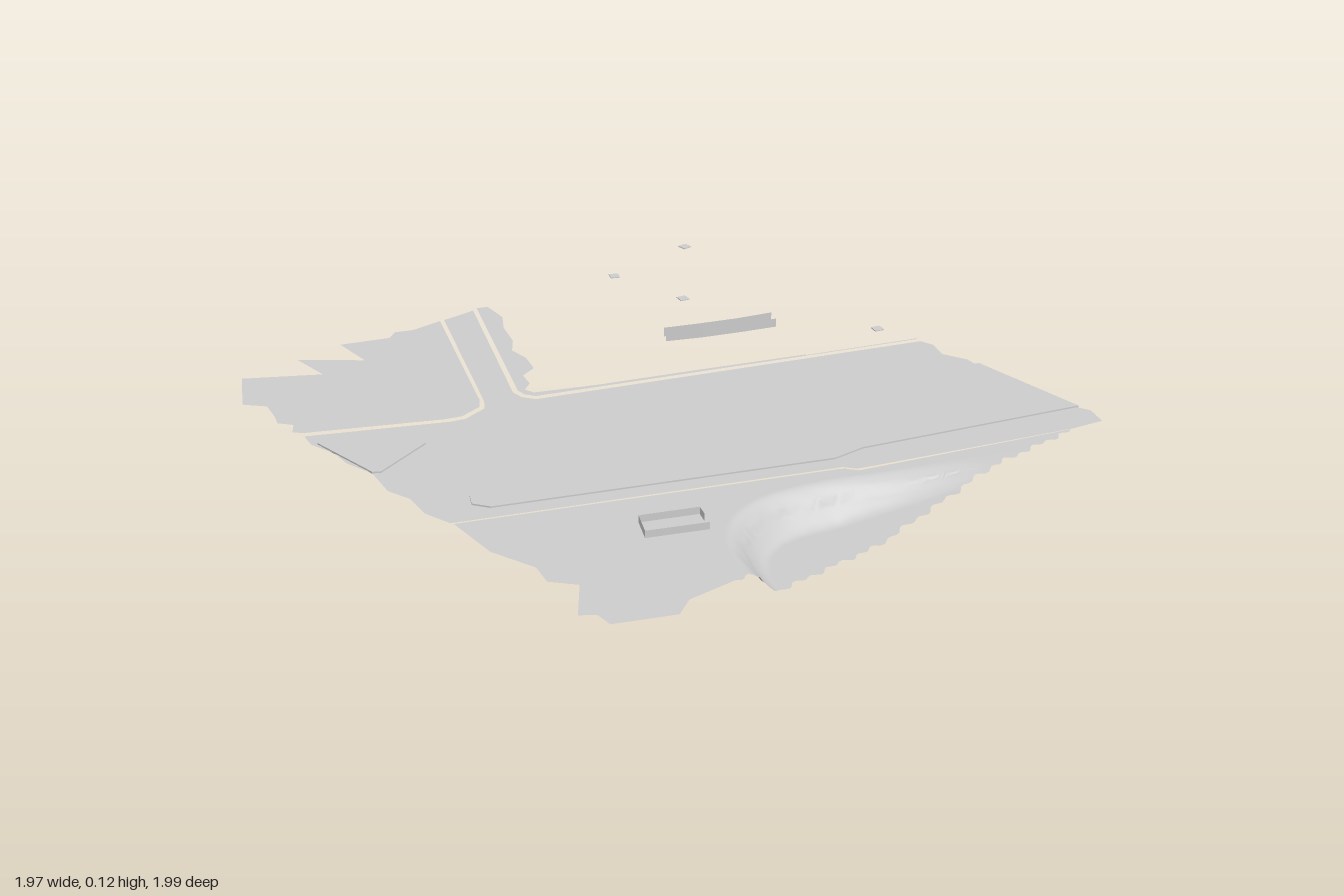
import * as THREE from 'three';

const LOT = 0.096, ROAD = 0.092;

// flat outline [x, z] -> shape lying in the ground plane once rotated
const outline = pts => new THREE.Shape(pts.map(([x, z]) => new THREE.Vector2(x, -z)));

export function createModel() {
  const group = new THREE.Group();
  group.name = 'streetJunction';
  const grey = new THREE.MeshStandardMaterial({ color: 0xcccccc, side: THREE.DoubleSide });
  grey.name = 'lightGrey';

  const add = (name, geo) => {
    const mesh = new THREE.Mesh(geo, grey);
    mesh.name = name;
    group.add(mesh);
    return mesh;
  };
  const sheet = (name, pts, y) =>
    add(name, new THREE.ShapeGeometry(outline(pts)).rotateX(-Math.PI / 2).translate(0, y, 0));
  const slab = (name, pts, y, h) =>
    add(name, new THREE.ExtrudeGeometry(outline(pts), { depth: h, bevelEnabled: false })
      .rotateX(-Math.PI / 2).translate(0, y, 0));
  // upright paper-thin wall along a path
  const wall = (name, pts, y0, y1) => {
    const pos = [];
    for (let i = 0; i + 1 < pts.length; i++) {
      const [a, b] = [pts[i], pts[i + 1]];
      const q = [[a, y0], [b, y0], [b, y1], [a, y0], [b, y1], [a, y1]];
      q.forEach(([p, y]) => pos.push(p[0], y, p[1]));
    }
    const geo = new THREE.BufferGeometry();
    geo.setAttribute('position', new THREE.Float32BufferAttribute(pos, 3));
    geo.computeVertexNormals();
    add(name, geo);
  };

  // road surface with ragged ends
  sheet('road', [
    [-0.935, -0.53], [-0.55, -0.325], [-0.5, -0.308], [-0.41, -0.328], [-0.38, -0.37],
    [-0.105, -0.945], [0.015, -0.945], [-0.275, -0.36], [-0.275, -0.315], [-0.25, -0.275],
    [0.96, 0.205], [0.97, 0.25], [0.94, 0.32], [0.97, 0.4], [0.955, 0.5], [0.98, 0.6],
    [0.955, 0.7], [0.97, 0.8], [0.965, 0.86], [0.98, 0.9], [0.95, 0.97], [0.84, 0.945],
    [0.21, 0.722], [0.165, 0.705], [0.14, 0.67], [-0.93, 0.192], [-0.95, 0.1], [-0.93, 0],
    [-0.95, -0.08], [-0.92, -0.2], [-0.94, -0.3], [-0.93, -0.38], [-0.95, -0.47],
  ], ROAD);

  // raised carriageway islands
  slab('mainIsland', [
    [0.97, 0.45], [0.4, 0.255], [-0.37, -0.085], [-0.42, -0.085], [-0.58, -0.035], [-0.79, 0.095],
    [-0.82, 0.145], [-0.79, 0.195], [0.16, 0.62], [0.27, 0.625], [0.97, 0.86],
  ], ROAD - 0.002, 0.007);
  slab('sideIsland', [
    [-0.935, -0.46], [-0.76, -0.38], [-0.69, -0.32], [-0.69, -0.25], [-0.9, -0.185], [-0.92, -0.2],
  ], ROAD - 0.002, 0.007);

  // north-west lot
  sheet('northWestLot', [
    [-0.96, -0.83], [-0.86, -0.99], [-0.65, -0.85], [-0.65, -0.995], [-0.49, -0.85], [-0.48, -1],
    [-0.33, -0.94], [-0.29, -0.965], [-0.235, -0.94], [-0.125, -0.94], [-0.39, -0.38],
    [-0.42, -0.34], [-0.5, -0.323], [-0.55, -0.34], [-0.93, -0.545], [-0.95, -0.57],
    [-0.92, -0.61], [-0.95, -0.65], [-0.93, -0.7], [-0.91, -0.77],
  ], LOT);

  // verge along the north-east kerb
  sheet('northEastVerge', [
    [0.03, -0.945], [0.065, -0.93], [0.05, -0.83], [0, -0.76], [-0.04, -0.66], [-0.09, -0.6],
    [-0.09, -0.53], [-0.12, -0.45], [-0.18, -0.43], [-0.2, -0.37], [-0.24, -0.345],
    [-0.23, -0.31], [-0.05, -0.225], [0.25, -0.105], [0.6, 0.04], [0.6, 0.05], [0.96, 0.187],
    [0.96, 0.193], [-0.243, -0.287], [-0.262, -0.32], [-0.26, -0.355],
  ], LOT);

  // south lot: flat western part
  const SPLIT = -0.55;
  sheet('southLotFlat', [
    [-0.93, 0.208], [SPLIT, 0.378], [SPLIT, 0.955], [-0.71, 0.95], [-0.78, 0.99], [-0.95, 0.91],
    [-0.945, 0.85], [-0.985, 0.82], [-0.88, 0.7], [-0.935, 0.63], [-0.91, 0.55], [-0.95, 0.4],
  ], LOT);

  // south lot: eastern part sinking into a smooth hollow
  const rim = new THREE.CatmullRomCurve3([
    [-0.48, 1.12], [-0.445, 0.95], [-0.39, 0.83], [-0.3, 0.745], [-0.18, 0.71], [0, 0.745],
    [0.2, 0.83], [0.5, 0.95], [0.9, 1.1],
  ].map(([x, z]) => new THREE.Vector3(x, 0, z))).getSpacedPoints(120);
  const height = (x, z) => {
    let best = Infinity, k = 0;
    rim.forEach((p, i) => {
      const d = Math.hypot(p.x - x, p.z - z);
      if (d < best) { best = d; k = i; }
    });
    const a = rim[Math.max(k - 1, 0)], b = rim[Math.min(k + 1, rim.length - 1)];
    const side = (b.x - a.x) * (z - a.z) - (b.z - a.z) * (x - a.x) > 0 ? 1 : -1;
    const depth = LOT * (1 - THREE.MathUtils.clamp(x / 0.5, 0, 0.95));
    return LOT - depth * THREE.MathUtils.smoothstep(side * best, -0.055, 0.065);
  };
  const kerb = [[SPLIT, 0.378], [0.13, 0.683], [0.155, 0.722], [0.2, 0.737], [0.84, 0.955]];
  const kerbZ = x => {
    const i = Math.max(1, kerb.findIndex(p => p[0] >= x - 1e-6));
    const [a, b] = [kerb[i - 1], kerb[i]];
    return a[1] + (b[1] - a[1]) * (x - a[0]) / (b[0] - a[0]);
  };
  const NX = 110, NZ = 48;
  const hollow = new THREE.PlaneGeometry(1, 1, NX, NZ);
  const pos = hollow.attributes.position;
  for (let j = 0; j <= NZ; j++) {
    for (let i = 0; i <= NX; i++) {
      const x = SPLIT + (0.84 - SPLIT) * i / NX;
      const z0 = kerbZ(x);
      const z1 = Math.max(z0, 0.955 + 0.008 * Math.sin(i * 1.3) + 0.005 * Math.sin(i * 0.57));
      const z = z0 + (z1 - z0) * j / NZ;
      pos.setXYZ(j * (NX + 1) + i, x, height(x, z), z);
    }
  }
  hollow.computeVertexNormals();
  add('southLotHollow', hollow);

  // open rectangular enclosure
  wall('enclosureWall', [[-0.41, 0.7], [-0.58, 0.62], [-0.535, 0.54], [-0.372, 0.615], [-0.39, 0.655]],
    ROAD, 0.119);

  // two free-standing low walls
  wall('southBarrier', [[0.34, -0.34], [0.45, -0.285], [0.57, -0.235], [0.69, -0.19]], 0.09, 0.119);
  wall('northBarrier', [[0.37, -0.385], [0.48, -0.335], [0.6, -0.285], [0.72, -0.245]], 0.083, 0.114);

  // small detached plates
  [[0.56, -0.86, -0.45], [0.92, -0.9, 0], [0.61, -0.56, -0.25], [0.925, 0.045, -0.3]].forEach(([x, z, r]) => {
    const m = add('plate', new THREE.BoxGeometry(0.032, 0.003, 0.032));
    m.position.set(x, 0.093, z);
    m.rotation.y = r;
  });

  return group;
}
